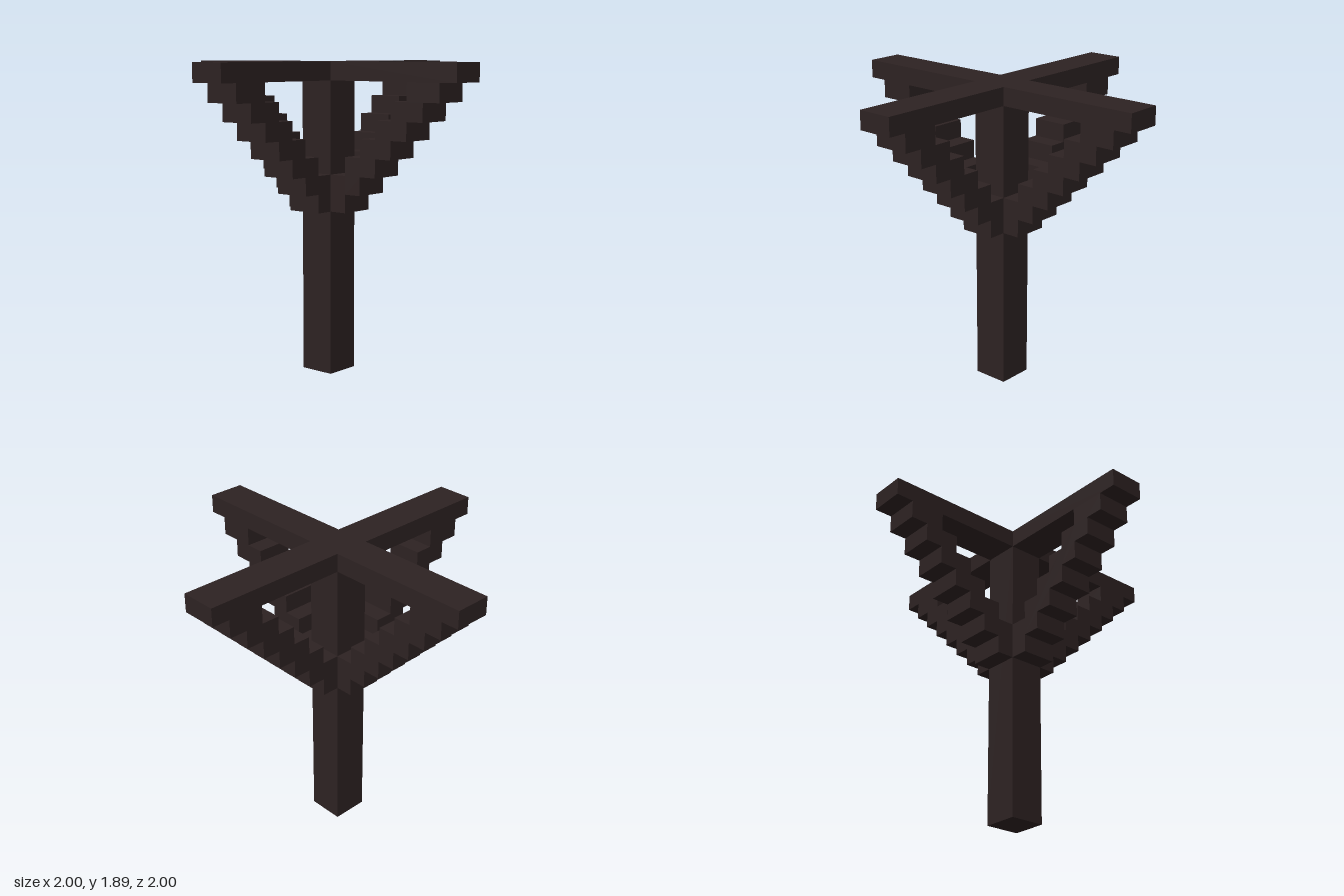
import * as THREE from 'three';

const U = 1 / 9; // grid unit: every part is a whole number of these

export function createModel() {
  const group = new THREE.Group();
  const darkWood = new THREE.MeshStandardMaterial({ color: 0x2d2222 });
  darkWood.name = 'darkWood';

  const add = (name, geometry) => {
    const mesh = new THREE.Mesh(geometry, darkWood);
    mesh.name = name;
    group.add(mesh);
    return mesh;
  };
  const outline = (points) =>
    new THREE.Shape(points.map(([x, y]) => new THREE.Vector2(x * U, y * U)));
  const extrude = (points, depth) =>
    new THREE.ExtrudeGeometry(outline(points), { depth: depth * U, bevelEnabled: false });

  // square upright post
  add('post', new THREE.BoxGeometry(2 * U, 16 * U, 2 * U).translate(0, 8 * U, 0));

  // flat cross of beams on top
  const cross = [
    [1, 1], [1, 9], [-1, 9], [-1, 1], [-9, 1], [-9, -1],
    [-1, -1], [-1, -9], [1, -9], [1, -1], [9, -1], [9, 1],
  ];
  add('crossBeams', extrude(cross, 1).rotateX(-Math.PI / 2).translate(0, 16 * U, 0));

  // stepped diagonal brace: outer steps going up, inner steps coming back down
  const steps = 7;
  const stair = [[1, 9]];
  for (let i = 0; i < steps; i++) stair.push([i + 2, i + 9], [i + 2, i + 10]);
  for (let i = steps - 1; i > 1; i--) stair.push([i, i + 10], [i, i + 9]);
  stair.push([1, 11]);
  const braceGeometry = extrude(stair, 2).translate(0, 0, -U);

  // one brace under each arm
  ['leftBrace', 'backBrace', 'rightBrace', 'frontBrace'].forEach((name, i) => {
    add(name, braceGeometry).rotation.y = (i * Math.PI) / 2;
  });

  return group;
}
